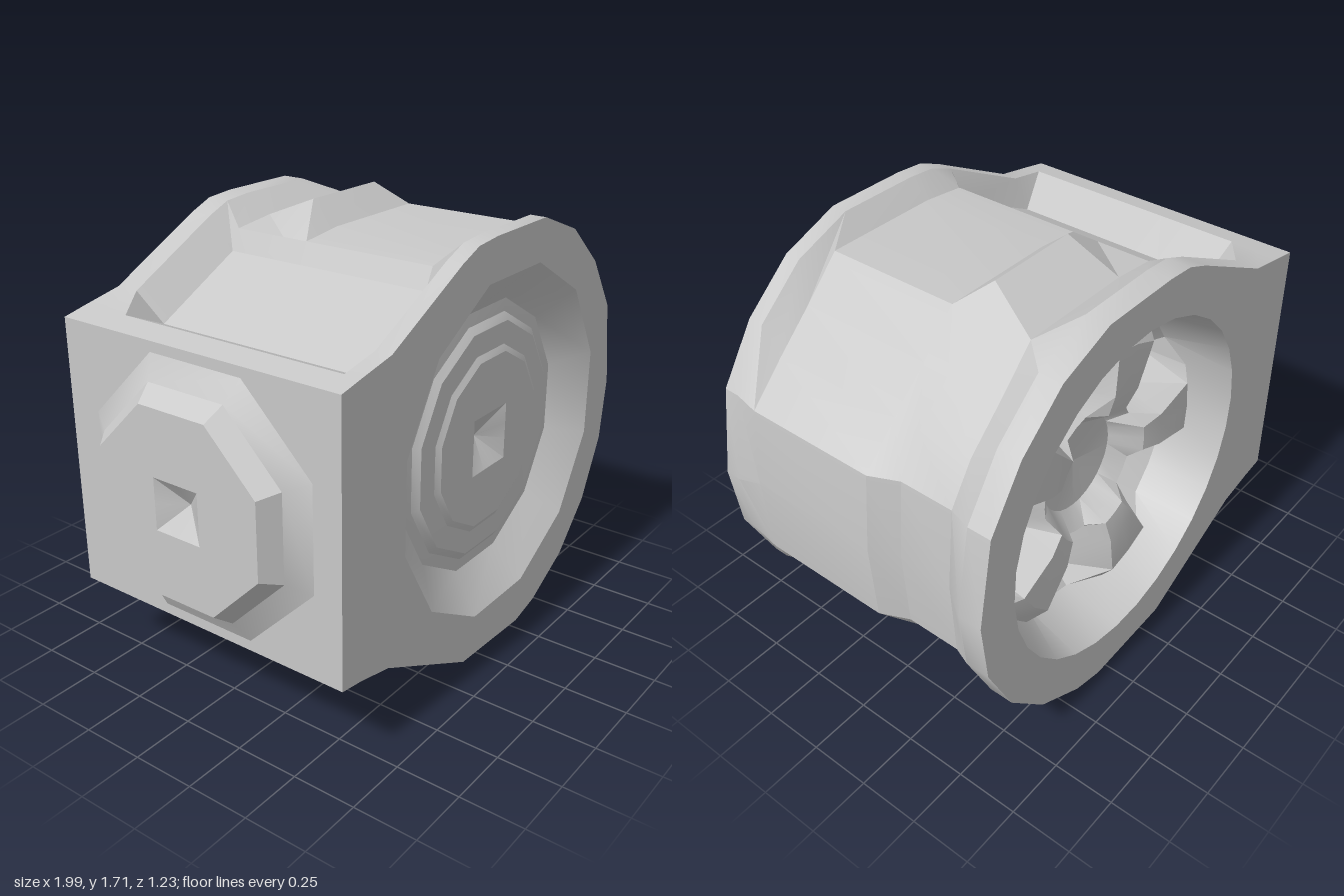
import * as THREE from 'three';
import { toCreasedNormals } from 'three/addons/utils/BufferGeometryUtils.js';

const CX = 0.14, CY = 0.86, HALF = 0.615;

// Skin between closed cross-sections, each a list of [x, y, z]
function loft(rings) {
  const pos = [];
  for (let i = 0; i < rings.length - 1; i++) {
    const n = rings[i].length;
    for (let j = 0; j < n; j++) {
      const k = (j + 1) % n;
      const a = rings[i][j], b = rings[i][k], c = rings[i + 1][j], d = rings[i + 1][k];
      pos.push(...a, ...c, ...b, ...b, ...c, ...d);
    }
  }
  const geo = new THREE.BufferGeometry();
  geo.setAttribute('position', new THREE.Float32BufferAttribute(pos, 3));
  geo.computeVertexNormals();
  return toCreasedNormals(geo, 0.4);
}

// Polar ring; radius may depend on the angle, depth on the index
function ring(n, r, z, cx = 0, cy = 0, offset = Math.PI / n) {
  return Array.from({ length: n }, (_, j) => {
    const t = offset + (j * 2 * Math.PI) / n;
    const rr = typeof r === 'function' ? r(t) : r;
    const zz = typeof z === 'function' ? z(j) : z;
    return [cx + rr * Math.cos(t), cy + rr * Math.sin(t), zz];
  });
}

// Square dimple outline
const square = (s) => (t) => s / Math.max(Math.abs(Math.cos(t)), Math.abs(Math.sin(t)));

// Rim outline and the narrower waist, matched point for point
const RIM = [[-0.88, 0.33], [-0.78, 0.315], [-0.62, 0.28], [-0.22, 0.08], [-0.11, 0.025], [0.3, 0.005],
  [0.44, 0.04], [0.66, 0.16], [0.84, 0.35], [0.96, 0.6], [0.99, 0.86], [0.93, 1.21], [0.78, 1.43],
  [0.58, 1.6], [0.34, 1.69], [0, 1.69], [-0.12, 1.68], [-0.22, 1.64], [-0.62, 1.44], [-0.78, 1.41], [-0.88, 1.39]];
const WAIST = [[-0.88, 0.33], [-0.78, 0.315], [-0.6, 0.38], [-0.22, 0.2], [-0.18, 0.12], [0, 0.1],
  [0.48, 0.1], [0.64, 0.25], [0.8, 0.41], [0.94, 0.53], [0.96, 0.86], [0.93, 1.18], [0.78, 1.33],
  [0.63, 1.47], [0.48, 1.62], [0, 1.62], [-0.18, 1.6], [-0.22, 1.52], [-0.6, 1.33], [-0.78, 1.41], [-0.88, 1.39]];

function section(points, z, squeeze = 0, bump = 0) {
  return points.map(([x, y], i) => {
    if (i >= 9 && i <= 11) x -= squeeze;
    if (i === 14 || i === 15) y += bump;
    if (i === 5 || i === 6) y -= bump;
    if (i === 14 || i === 6) x -= bump;
    return [x, y, z];
  });
}

// Flat end plate with a round opening
function plate(outline, hole, flip) {
  const v = (p) => new THREE.Vector2(p[0] * flip, p[1]);
  const shape = new THREE.Shape(outline.map(v));
  shape.holes.push(new THREE.Path(hole.map(v)));
  return new THREE.ShapeGeometry(shape);
}

export function createModel() {
  const group = new THREE.Group();
  const grey = new THREE.MeshStandardMaterial({ color: 0xc8c8c8 });
  grey.name = 'plain grey';
  const add = (name, geo) => {
    const mesh = new THREE.Mesh(geo, grey);
    mesh.name = name;
    group.add(mesh);
    return mesh;
  };

  // Outer shell: front rim, waist with top and bottom wedges, back rim
  add('housing', loft([
    section(RIM, HALF), section(RIM, 0.55), section(WAIST, 0.47),
    section(WAIST, -0.08), section(WAIST, -0.19, 0.05, 0.09),
    section(WAIST, -0.41, 0.05), section(RIM, -0.52), section(RIM, -HALF),
  ]));

  // Front plate and gently stepped dish, from the centre outwards
  const frontHole = ring(12, 0.69, HALF, CX, CY);
  add('frontPlate', plate(RIM, frontHole, 1)).position.z = HALF;
  add('frontDish', loft([
    ...[[0.001, 0.47], [square(0.115), 0.54], [0.345, 0.54], [0.37, 0.527], [0.46, 0.525],
      [0.49, 0.505], [0.54, 0.5]].map(([r, z]) => ring(12, r, z, CX, CY)),
    frontHole,
  ]));

  // Back plate
  const polar = (r, z) => ring(30, r, z, CX, CY, 0.384);
  const backHole = polar(0.68, -HALF);
  const back = add('backPlate', plate(RIM, backHole, -1));
  back.rotation.y = Math.PI;
  back.position.z = -HALF;

  // Back recess with five blocky lugs around a hollow hub
  const lug = (high, low) => (j) => (j % 6 < 3 ? high : low);
  add('backRecess', loft([
    backHole,
    polar(0.62, lug(-0.44, -0.36)), polar(0.54, lug(-0.5, -0.28)), polar(0.36, lug(-0.5, -0.29)),
    polar(0.27, lug(-0.48, -0.42)), polar(0.2, -0.36), polar(0.001, -0.34),
  ]));

  // Eight-sided boss with a dimple on the flat side
  const boss = add('sideBoss', loft([
    ring(8, 0.001, 0.05, 0, 0, 0), ring(8, square(0.1), 0.12, 0, 0, 0),
    ring(8, 0.385, 0.12), ring(8, 0.44, 0.05), ring(8, 0.53, 0),
  ]));
  boss.rotation.y = -Math.PI / 2;
  boss.position.set(-0.88, CY, 0.01);

  return group;
}
